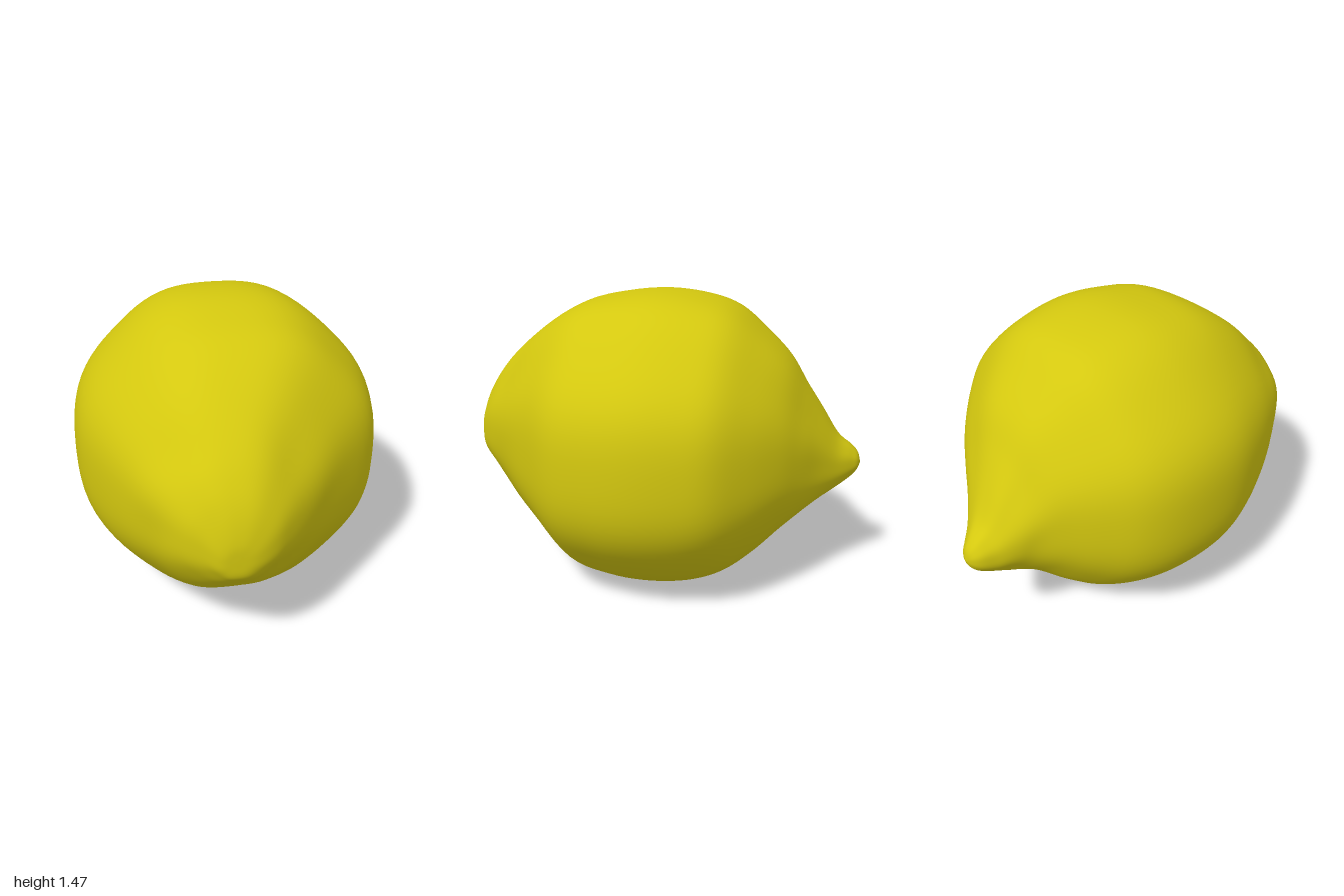
import * as THREE from 'three';

// Cross-sections from blossom end to stem tip: z, left x, right x, bottom y, top y
const SECTIONS = [
  [1.0, -0.11, -0.11, 0.66, 0.66],
  [0.995, -0.18, -0.02, 0.58, 0.75],
  [0.96, -0.25, 0.07, 0.53, 0.87],
  [0.9, -0.34, 0.15, 0.47, 0.98],
  [0.8, -0.43, 0.26, 0.37, 1.1],
  [0.6, -0.56, 0.47, 0.2, 1.28],
  [0.4, -0.66, 0.66, 0.06, 1.4],
  [0.2, -0.73, 0.73, 0.01, 1.45],
  [0.0, -0.75, 0.75, 0.0, 1.47],
  [-0.2, -0.73, 0.72, 0.02, 1.45],
  [-0.36, -0.67, 0.66, 0.08, 1.4],
  [-0.5, -0.56, 0.53, 0.18, 1.29],
  [-0.63, -0.44, 0.37, 0.3, 1.16],
  [-0.72, -0.36, 0.23, 0.37, 1.01],
  [-0.8, -0.31, 0.1, 0.42, 0.88],
  [-0.88, -0.27, -0.01, 0.47, 0.75],
  [-0.95, -0.24, -0.09, 0.52, 0.69],
  [-0.985, -0.21, -0.13, 0.56, 0.65],
  [-1.0, -0.17, -0.17, 0.6, 0.6],
];

function createSkin() {
  const centres = new THREE.CatmullRomCurve3(
    SECTIONS.map(([z, l, r, b, t]) => new THREE.Vector3((l + r) / 2, (b + t) / 2, z)), false, 'catmullrom');
  const radii = new THREE.CatmullRomCurve3(
    SECTIONS.map(([z, l, r, b, t]) => new THREE.Vector3((r - l) / 2, (t - b) / 2, z)), false, 'catmullrom');

  const rows = (SECTIONS.length - 1) * 5, sides = 96;
  const positions = [], indices = [];
  for (let i = 0; i <= rows; i++) {
    const c = centres.getPoint(i / rows), r = radii.getPoint(i / rows);
    // Shallow wrinkles only where the ends narrow
    const wrinkle = 0.02 * Math.exp(-(((Math.abs(c.z) - 0.77) / 0.1) ** 2));
    for (let j = 0; j < sides; j++) {
      const a = (j / sides) * Math.PI * 2;
      // Slightly squarish rounding with soft shoulders
      const k = 1 + 0.01 * (1 - Math.cos(8 * a)) + wrinkle * Math.sin(5 * a + 9 * c.z);
      positions.push(c.x + Math.max(r.x, 0) * k * Math.cos(a), c.y + Math.max(r.y, 0) * k * Math.sin(a), c.z);
    }
  }
  for (let i = 0; i < rows; i++) {
    for (let j = 0; j < sides; j++) {
      const a = i * sides + j, b = i * sides + ((j + 1) % sides);
      indices.push(a, a + sides, b, b, a + sides, b + sides);
    }
  }
  const geometry = new THREE.BufferGeometry();
  geometry.setAttribute('position', new THREE.Float32BufferAttribute(positions, 3));
  geometry.setIndex(indices);
  geometry.computeVertexNormals();

  // The pole rows collapse to points, so give them the axial normal
  const normals = geometry.attributes.normal;
  for (let j = 0; j < sides; j++) {
    normals.setXYZ(j, 0, 0, 1);
    normals.setXYZ(rows * sides + j, 0, 0, -1);
  }
  return geometry;
}

export function createModel() {
  const group = new THREE.Group();
  group.name = 'lemon';
  const skin = new THREE.Mesh(createSkin(), new THREE.MeshStandardMaterial({ color: 0xd4c80f }));
  skin.name = 'lemonSkin';
  group.add(skin);
  return group;
}
